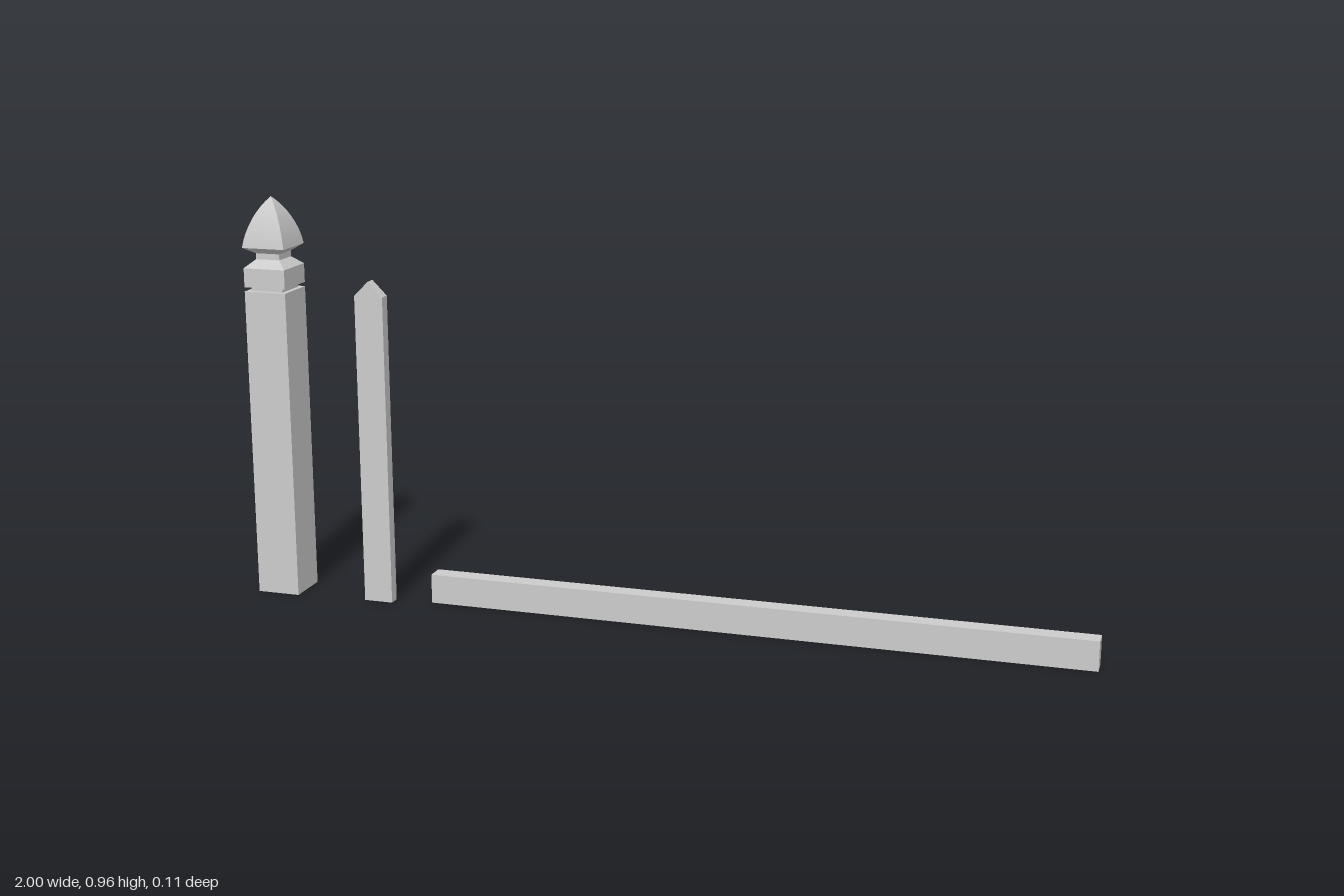
import * as THREE from 'three';
import { toCreasedNormals } from 'three/addons/utils/BufferGeometryUtils.js';

const material = new THREE.MeshStandardMaterial({ color: 0xcccccc });

function addPart(group, name, geometry, x, y, z) {
  const mesh = new THREE.Mesh(geometry, material);
  mesh.name = name;
  mesh.position.set(x, y, z);
  group.add(mesh);
}

// Square turning: a four-sided lathe from [half width, height] pairs
function squareTurning(profile) {
  const points = profile.map(([half, y]) => new THREE.Vector2(half * Math.SQRT2, y));
  const geometry = new THREE.LatheGeometry(points, 4).rotateY(Math.PI / 4);
  return toCreasedNormals(geometry, THREE.MathUtils.degToRad(28));
}

export function createModel() {
  const model = new THREE.Group();
  model.name = 'fenceParts';

  // Post with a grooved collar and neck
  const postX = -0.948;
  addPart(model, 'post', squareTurning([
    [0, 0], [0.052, 0], [0.052, 0.738], [0.04, 0.738], [0.04, 0.748],
    [0.052, 0.748], [0.052, 0.793], [0.03, 0.812], [0.03, 0.826],
  ]), postX, 0, 0);

  // Curved pointed finial on the neck
  const curve = new THREE.CubicBezierCurve(
    new THREE.Vector2(0.053, 0.841), new THREE.Vector2(0.047, 0.885),
    new THREE.Vector2(0.027, 0.93), new THREE.Vector2(0, 0.957));
  addPart(model, 'finial', squareTurning([
    [0.03, 0.826], ...curve.getPoints(8).map((p) => [p.x, p.y]),
  ]), postX, 0, 0);

  // Picket with a pointed top
  const outline = new THREE.Shape([
    [-0.035, 0], [0.035, 0], [0.035, 0.74], [0, 0.775], [-0.035, 0.74],
  ].map(([x, y]) => new THREE.Vector2(x, y)));
  addPart(model, 'picket',
    new THREE.ExtrudeGeometry(outline, { depth: 0.027, bevelEnabled: false }),
    -0.692, 0, 0.011);

  // Rail lying on the ground
  addPart(model, 'rail', new THREE.BoxGeometry(1.566, 0.07, 0.043), 0.217, 0.035, -0.012);

  return model;
}
